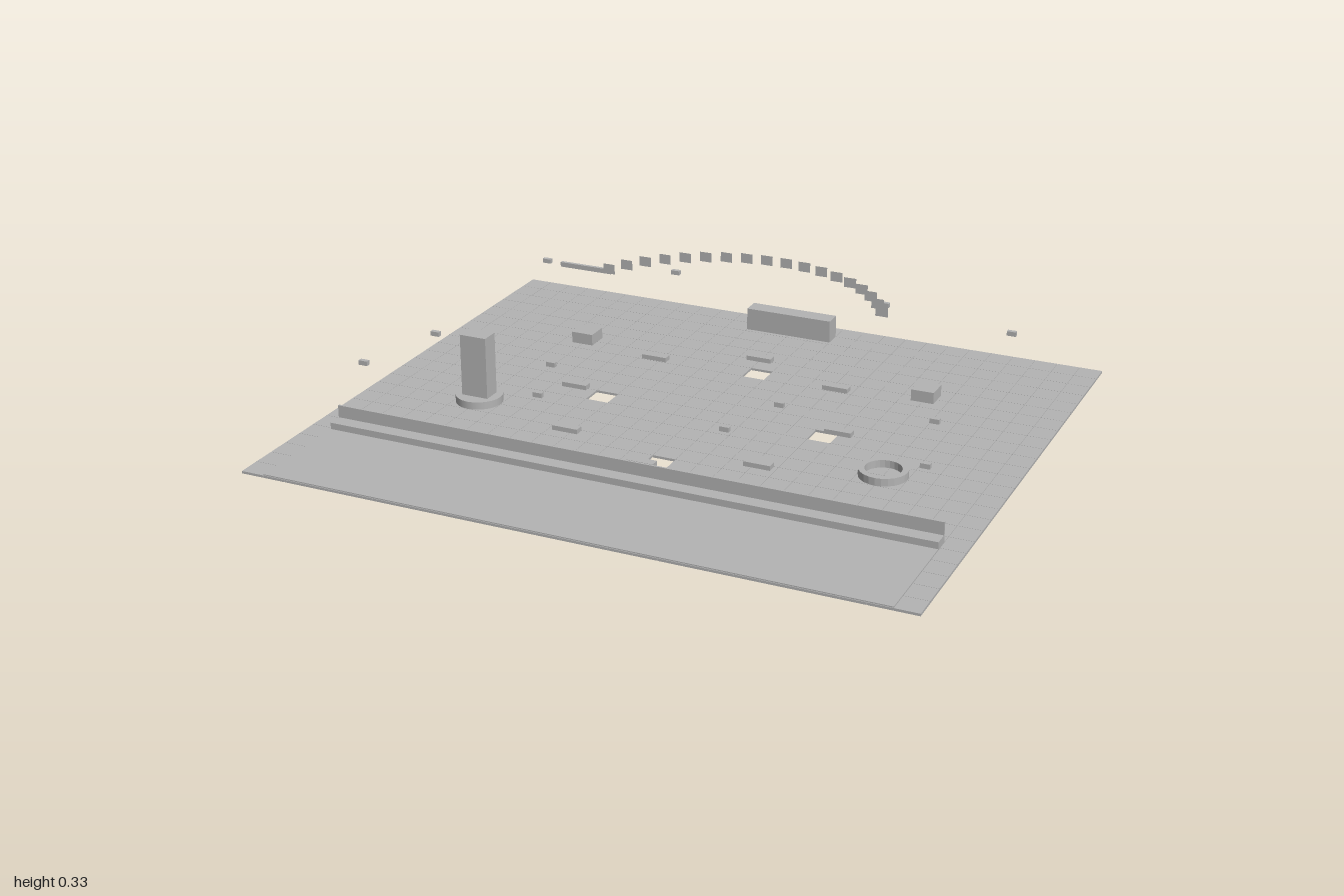
import * as THREE from 'three';
import { mergeGeometries } from 'three/addons/utils/BufferGeometryUtils.js';

const U = 1 / 14;          // one floor tile
const FLOOR = 0.1 * U;     // top of the floor

export function createModel() {
  const model = new THREE.Group();
  model.name = 'plaza';
  const gray = new THREE.MeshStandardMaterial({ color: 0xb4b4b4 });
  gray.name = 'stone gray';
  const sheetGray = gray.clone();
  sheetGray.name = 'stone gray sheet';
  sheetGray.side = THREE.DoubleSide;

  const add = (name, geometry, x, y, z, material = gray) => {
    const mesh = new THREE.Mesh(geometry, material);
    mesh.name = name;
    mesh.position.set(x, y, z);
    model.add(mesh);
    return mesh;
  };
  // Box given by its size, centre in plan and bottom height
  const box = (name, w, h, d, x, bottom, z) =>
    add(name, new THREE.BoxGeometry(w, h, d), x, bottom + h / 2, z);

  // Tiled floor with four openings
  const openings = ['14,6', '9,11', '19,11', '14,16'];
  const tiles = [];
  for (let i = 0; i < 28; i++) {
    for (let j = 0; j < 24; j++) {
      if (openings.includes(`${i},${j}`)) continue;
      tiles.push(new THREE.BoxGeometry(U * 0.985, FLOOR, U * 0.985)
        .translate((i - 13.5) * U, FLOOR / 2, (j - 11.5) * U));
    }
  }
  add('floorTiles', mergeGeometries(tiles), 0, 0, 0);

  // Front apron, step and low parapet
  box('frontApron', 26 * U, 0.003, 0.35, 0, FLOOR, 0.68 - 0.0005);
  box('frontStep', 26 * U, 0.023, 0.045, 0, FLOOR, 0.4915);
  box('parapet', 26 * U, 0.061, 0.006, 0, FLOOR, 0.467);

  // Tower on a round base, and a round basin opposite
  add('towerBase', new THREE.CylinderGeometry(U, U, 0.023, 24), -9 * U, FLOOR + 0.0115, 2 * U);
  box('tower', 1.2 * U, 0.192, 0.8 * U, -9 * U, 0.03, 2 * U);
  const rim = [[0.75, 0], [1, 0], [1, 0.32], [0.75, 0.32], [0.75, 0]]
    .map(([r, y]) => new THREE.Vector2(r * U, y * U));
  const rimGeometry = new THREE.LatheGeometry(rim, 24).toNonIndexed();
  rimGeometry.computeVertexNormals();
  add('basinRim', rimGeometry, 9 * U, FLOOR, 2 * U, sheetGray);

  // Rear platform, two crates and a sign bar
  box('rearPlatform', 4 * U, U, 0.8 * U, 0, FLOOR, -0.758);
  for (const side of [-1, 1]) box('crate', U, 0.5 * U, U, side * 8 * U, FLOOR, -6 * U);
  box('signBar', 0.178, 0.015, 0.011, -8 * U, 0.245, -0.432);

  // Ring of eight benches
  for (let k = 0; k < 8; k++) {
    const a = k * Math.PI / 4;
    box('bench', 0.082, 0.2 * U, 0.028, 6 * U * Math.cos(a), FLOOR, -U + 6 * U * Math.sin(a));
  }

  // Hanging lamps, mirrored left and right
  for (const [x, z] of [[5, -9], [11, -8], [11, 2], [5, 3], [4, 6], [12, 6]]) {
    for (const side of [-1, 1]) box('lamp', 0.028, 0.014, 0.014, side * x * U, 0.193, z * U);
  }

  // Arc of hanging flags
  for (let k = 0; k < 18; k++) {
    const a = Math.PI * (0.15 + 0.7 * k / 17);
    add('flag', new THREE.PlaneGeometry(0.039, 0.031),
      0.0215 + 0.5 * Math.cos(a), 0.314, -U - 0.5 * Math.sin(a), sheetGray);
  }
  return model;
}
